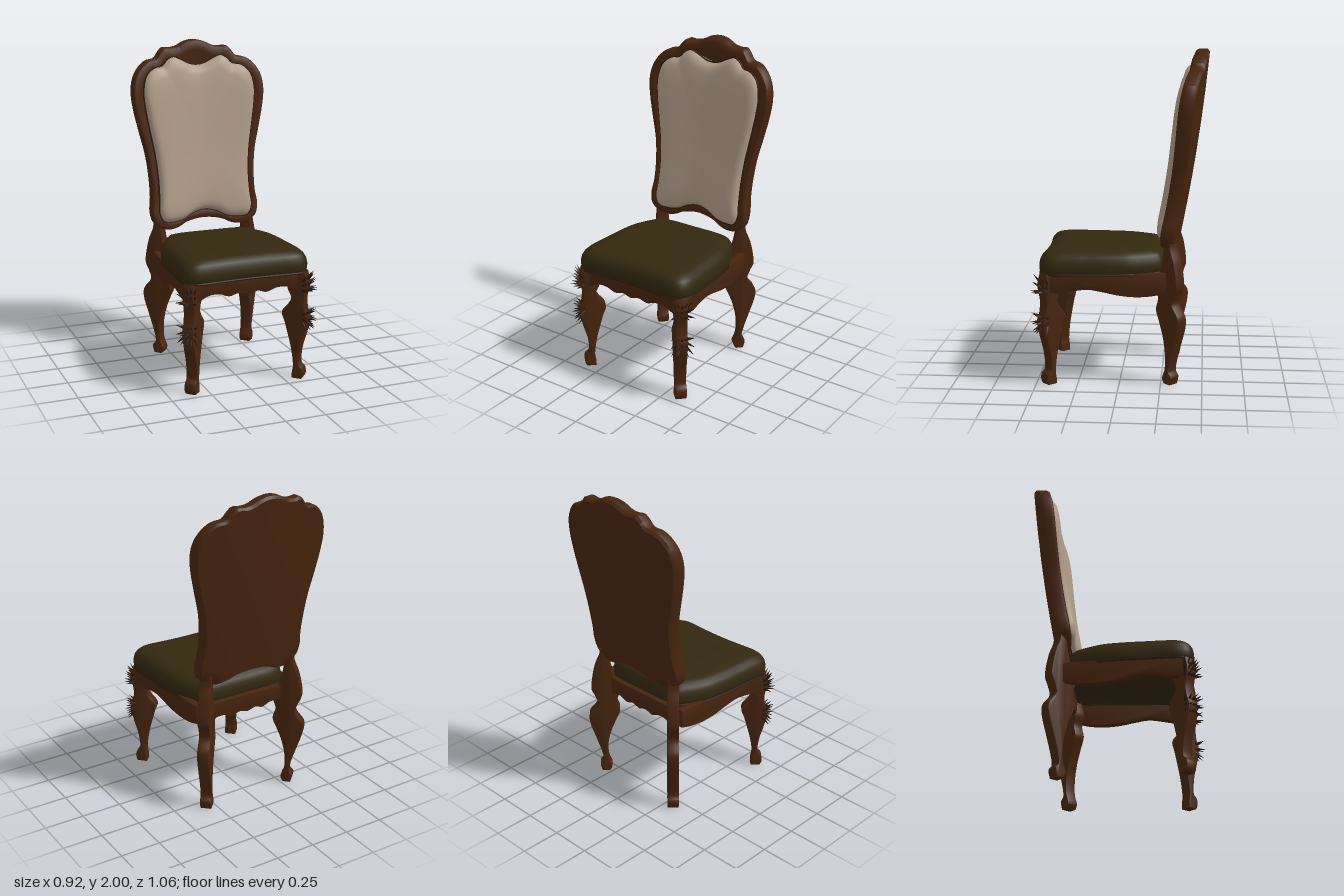
import * as THREE from 'three';
import { toCreasedNormals } from 'three/addons/utils/BufferGeometryUtils.js';

const mat = (name, color) => Object.assign(new THREE.MeshStandardMaterial({ color }), { name });

// Closed smooth outline from its right half, listed from one centre point to the other
function outline(half, n = 144) {
  const left = half.filter(p => p[0] > 0).reverse().map(([x, y]) => [-x, y]);
  const pts = [...half, ...left].map(([x, y]) => new THREE.Vector3(x, y, 0));
  return new THREE.CatmullRomCurve3(pts, true).getPoints(n).slice(0, n);
}

// Scaled copies of an outline, each ring [scale, height], joined into one skin
function loft(pts, centreY, rings, place) {
  const pos = [], idx = [], n = pts.length;
  for (const [s, h] of rings)
    for (const p of pts) pos.push(...place(p.x * s, centreY + (p.y - centreY) * s, h));
  for (let i = 0; i < rings.length - 1; i++)
    for (let j = 0; j < n; j++) {
      const a = i * n + j, c = i * n + (j + 1) % n, b = a + n, d = c + n;
      if (rings[i][0] > 0) idx.push(a, b, c);
      if (rings[i + 1][0] > 0) idx.push(c, b, d);
    }
  const g = new THREE.BufferGeometry();
  g.setAttribute('position', new THREE.Float32BufferAttribute(pos, 3));
  g.setIndex(idx);
  g.computeVertexNormals();
  return g;
}

// Bevelled slab of even thickness, centred on its own plane
function slab(shape, thick, bevel) {
  const g = new THREE.ExtrudeGeometry(shape, {
    depth: thick - 2 * bevel, bevelEnabled: true, bevelSize: bevel, bevelOffset: -bevel,
    bevelThickness: bevel, bevelSegments: 2, curveSegments: 6,
  });
  g.translate(0, 0, -thick / 2 + bevel);
  return toCreasedNormals(g, 0.6);
}

const vecs = pts => pts.map(([x, y]) => new THREE.Vector2(x, y));

// Cabriole leg profile: outer edge going down, inner edge going up
function legGeometry(outer, inner) {
  const s = new THREE.Shape();
  s.moveTo(...outer[0]);
  s.splineThru(vecs(outer.slice(1)));
  s.lineTo(...inner[0]);
  s.splineThru(vecs(inner.slice(1)));
  s.closePath();
  return slab(s, 0.072, 0.007);
}

// Rail with a straight top and a scalloped lower edge
function railGeometry(lower, thick) {
  const s = new THREE.Shape();
  s.moveTo(lower[0][0], 0.69);
  s.lineTo(...lower[0]);
  s.splineThru(vecs(lower.slice(1)));
  s.lineTo(lower[lower.length - 1][0], 0.69);
  s.closePath();
  return slab(s, thick, 0.004);
}

export function createModel() {
  const chair = new THREE.Group();
  chair.name = 'diningChair';
  const wood = mat('walnut wood', 0x47250f);
  const dark = mat('dark carving', 0x2c190b);
  const olive = mat('olive upholstery', 0x33280f);
  const cream = mat('cream upholstery', 0xb09c88);
  const add = (parent, name, geo, m) => {
    const mesh = new THREE.Mesh(geo, m);
    mesh.name = name;
    parent.add(mesh);
    return mesh;
  };

  // Reclined, gently wrapped surface that the whole backrest follows
  const onBack = (x, y, h) => {
    const t = (y - 0.83) / 1.17;
    return [x, y, -0.35 - 0.243 * t + 0.068 * t * t + 0.3 * x * x + h];
  };

  // Backrest frame
  const frame = outline([[0, 2], [0.06, 1.99], [0.12, 1.962], [0.17, 1.955], [0.21, 1.958], [0.237, 1.935],
    [0.27, 1.895], [0.33, 1.882], [0.385, 1.84], [0.425, 1.775], [0.44, 1.69], [0.43, 1.59], [0.4, 1.45],
    [0.365, 1.3], [0.35, 1.15], [0.35, 1.03], [0.36, 0.95], [0.345, 0.88], [0.3, 0.843], [0.24, 0.826],
    [0.18, 0.835], [0.12, 0.862], [0, 0.88]]);
  add(chair, 'backFrame', toCreasedNormals(loft(frame, 1.38, [[0, 0], [0.3, 0], [0.6, 0], [0.85, 0], [0.975, 0],
    [1, 0.015], [1, 0.065], [0.985, 0.082], [0.95, 0.09], [0.9, 0.088], [0.8, 0.07], [0.4, 0.07], [0, 0.07]], onBack), 0.7), wood);

  // Back cushion and its piping
  const pad = outline([[0, 1.848], [0.05, 1.856], [0.11, 1.885], [0.16, 1.903], [0.2, 1.885], [0.235, 1.85],
    [0.29, 1.84], [0.345, 1.795], [0.37, 1.7], [0.364, 1.6], [0.34, 1.45], [0.315, 1.3], [0.303, 1.15],
    [0.305, 1.02], [0.31, 0.94], [0.285, 0.888], [0.22, 0.878], [0.15, 0.888], [0.08, 0.922], [0, 0.938]]);
  add(chair, 'backCushion', loft(pad, 1.38, [[1, 0.06], [1, 0.088], [0.985, 0.102], [0.96, 0.116], [0.92, 0.128],
    [0.85, 0.136], [0.7, 0.141], [0.45, 0.143], [0.2, 0.143], [0, 0.143]], onBack), cream);
  const welt = new THREE.CatmullRomCurve3(pad.map(p => new THREE.Vector3(...onBack(p.x, p.y, 0.089))), true);
  add(chair, 'backPiping', new THREE.TubeGeometry(welt, 200, 0.006, 6, true), dark);

  // Seat cushion
  const seat = outline([[0, -0.27], [0.2, -0.268], [0.275, -0.25], [0.31, -0.2], [0.345, -0.13], [0.372, -0.06],
    [0.386, 0.03], [0.392, 0.1], [0.396, 0.2], [0.401, 0.3], [0.4, 0.4], [0.38, 0.45], [0.34, 0.475],
    [0.28, 0.48], [0.2, 0.474], [0.1, 0.468], [0, 0.466]]);
  const onSeat = (x, z, h) => [x, h, z];
  add(chair, 'seatCushion', toCreasedNormals(loft(seat, 0.1, [[0, 0.68], [0.5, 0.68], [0.97, 0.68], [0.99, 0.69],
    [1, 0.71], [1, 0.735], [0.985, 0.765], [0.955, 0.788], [0.91, 0.805], [0.84, 0.815], [0.7, 0.821],
    [0.4, 0.823], [0, 0.823]], onSeat), 0.9), olive);
  const seam = new THREE.CatmullRomCurve3(seat.map(p => new THREE.Vector3(p.x * 0.985, 0.684, 0.1 + (p.y - 0.1) * 0.985)), true);
  add(chair, 'seatPiping', new THREE.TubeGeometry(seam, 200, 0.007, 6, true), dark);

  // Rails under the seat
  const frontEdge = [[-0.32, 0.565], [-0.25, 0.6], [-0.18, 0.602], [-0.12, 0.583], [-0.06, 0.597], [0, 0.583],
    [0.06, 0.597], [0.12, 0.583], [0.18, 0.602], [0.25, 0.6], [0.32, 0.565]];
  add(chair, 'frontRail', railGeometry(frontEdge, 0.04), wood).position.z = 0.43;
  add(chair, 'backRail', railGeometry(frontEdge.map(([x, y]) => [x * 0.92, y - 0.01]), 0.04), wood).position.z = -0.28;
  const sideRail = railGeometry([[-0.41, 0.575], [-0.35, 0.57], [-0.2, 0.592], [-0.1, 0.578], [0, 0.557],
    [0.1, 0.548], [0.2, 0.555], [0.28, 0.575]], 0.045);
  for (const side of [1, -1]) {
    const rail = add(chair, side > 0 ? 'leftRail' : 'rightRail', sideRail, wood);
    rail.position.x = 0.345 * side;
    rail.rotation.y = Math.PI / 2 + 0.05 * side;
  }

  // Legs, each set on the diagonal of its corner
  const frontLeg = legGeometry(
    [[0.045, 0.685], [0.062, 0.61], [0.045, 0.52], [0.05, 0.45], [0.068, 0.39], [0.05, 0.3], [0.022, 0.2],
      [0.012, 0.1], [0.038, 0.065], [0.042, 0.025], [0.03, 0]],
    [[-0.03, 0], [-0.028, 0.04], [-0.022, 0.09], [-0.038, 0.2], [-0.078, 0.35], [-0.098, 0.42], [-0.055, 0.48],
      [-0.04, 0.52], [-0.065, 0.58], [-0.07, 0.685]]);
  const backLeg = legGeometry(
    [[0.012, 0.9], [0.016, 0.84], [0.05, 0.75], [0.072, 0.62], [0.05, 0.56], [0.035, 0.5], [0.085, 0.43],
      [0.085, 0.36], [0.05, 0.25], [0.018, 0.15], [0.006, 0.085], [0.028, 0.05], [0.016, 0]],
    [[-0.032, 0], [-0.047, 0.035], [-0.025, 0.1], [-0.025, 0.2], [-0.047, 0.3], [-0.078, 0.38], [-0.105, 0.45],
      [-0.088, 0.52], [-0.105, 0.59], [-0.09, 0.65], [-0.055, 0.75], [-0.04, 0.84], [-0.04, 0.9]]);

  // Spiky carved leaf: flattened cone standing on its base
  const leaf = new THREE.ConeGeometry(0.011, 0.065, 5);
  leaf.translate(0, 0.0325, 0);
  const up = new THREE.Vector3(0, 1, 0);
  const tuft = (leg, y, lean) => {
    for (let row = 0; row < 3; row++)
      for (let k = -2; k <= 2; k++) {
        const m = add(leg, 'carvedLeaf', leaf, dark);
        m.position.set(0.05 - Math.abs(k) * 0.006, y + (row - 1) * 0.028, k * 0.015);
        m.quaternion.setFromUnitVectors(up, new THREE.Vector3(0.75 - Math.abs(k) * 0.1, lean + (row - 1) * 0.4, k * 0.27).normalize());
      }
  };
  for (const sx of [1, -1])
    for (const sz of [1, -1]) {
      const leg = new THREE.Group();
      leg.name = (sz > 0 ? 'front' : 'back') + (sx > 0 ? 'Left' : 'Right') + 'Leg';
      add(leg, 'legPost', sz > 0 ? frontLeg : backLeg, wood);
      leg.position.set(sx * (sz > 0 ? 0.345 : 0.31), 0, sz > 0 ? 0.42 : -0.315);
      leg.rotation.y = Math.atan2(-sz, sx);
      if (sz > 0) {
        tuft(leg, 0.6, 0.45);
        tuft(leg, 0.39, -0.1);
      }
      chair.add(leg);
    }
  return chair;
}
